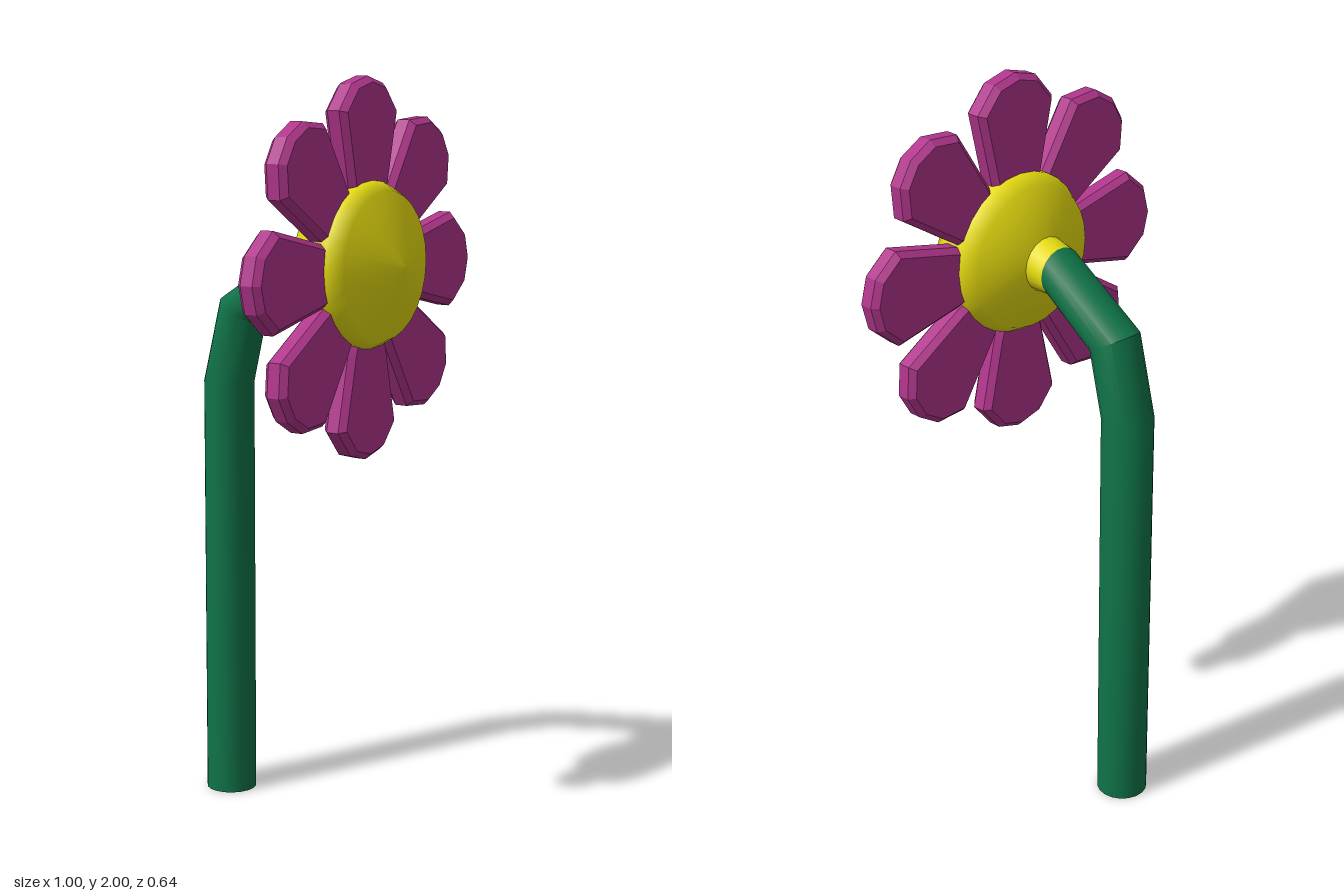
import * as THREE from 'three';
import { toCreasedNormals } from 'three/addons/utils/BufferGeometryUtils.js';

const paint = (name, color) => {
  const m = new THREE.MeshStandardMaterial({ color });
  m.name = name;
  return m;
};

// Tube through tilted rings; each ring is [centreY, centreZ, radiusX, vY, vZ],
// where v is the ring's second axis in the side plane.
function ringTube(rings, sides, capStart) {
  const pos = [], idx = [];
  for (const [y, z, r, vy, vz] of rings) {
    for (let i = 0; i < sides; i++) {
      const a = (i / sides) * Math.PI * 2;
      pos.push(Math.cos(a) * r, y + Math.sin(a) * vy, z + Math.sin(a) * vz);
    }
  }
  for (let k = 0; k < rings.length - 1; k++) {
    for (let i = 0; i < sides; i++) {
      const j = (i + 1) % sides;
      const a = k * sides + i, b = k * sides + j;
      idx.push(a, b, b + sides, a, b + sides, a + sides);
    }
  }
  if (capStart) {
    const c = pos.length / 3;
    pos.push(0, rings[0][0], rings[0][1]);
    for (let i = 0; i < sides; i++) idx.push(c, (i + 1) % sides, i);
  }
  const g = new THREE.BufferGeometry();
  g.setAttribute('position', new THREE.Float32BufferAttribute(pos, 3));
  g.setIndex(idx);
  return toCreasedNormals(g, 0.5);
}

export function createModel() {
  const green = paint('stem green', 0x0f7348);
  const yellow = paint('centre yellow', 0xe6dc10);
  const magenta = paint('petal magenta', 0xb0368c);
  const model = new THREE.Group();
  model.name = 'flower';
  const add = (name, geometry, material, parent = model) => {
    const mesh = new THREE.Mesh(geometry, material);
    mesh.name = name;
    parent.add(mesh);
    return mesh;
  };

  // Upright stem bending forward to the bloom
  add('stem', ringTube([
    [0, -0.25, 0.07, 0, -0.07],
    [1.17, -0.25, 0.07, 0, -0.07],
    [1.372, -0.2, 0.07, 0.033, -0.06],
    [1.505, 0, 0.07, 0.065, 0],
  ], 18, true), green);

  // Short collar joining stem and bloom
  add('neck', ringTube([
    [1.505, 0, 0.07, 0.065, 0],
    [1.512, 0.06, 0.075, 0.075, 0],
  ], 18, false), yellow);

  // Domed centre, turned about the z axis
  const profile = [[0, 0.05], [0.075, 0.053], [0.195, 0.105], [0.22, 0.15],
    [0.22, 0.22], [0.195, 0.265], [0, 0.322]].map(([r, z]) => new THREE.Vector2(r, z));
  const disc = new THREE.LatheGeometry(profile, 28);
  disc.rotateX(Math.PI / 2);
  add('centre', disc, yellow).position.y = 1.515;

  // Ring of eight bevelled petals
  const half = [[0.05, 0.1], [0.085, 0.215], [0.13, 0.415], [0.072, 0.483]];
  const outline = [...half, [0, 0.502], ...half.map(([x, y]) => [-x, y]).reverse()];
  const petal = new THREE.ExtrudeGeometry(
    new THREE.Shape(outline.map(([x, y]) => new THREE.Vector2(x, y))),
    { depth: 0.036, bevelThickness: 0.017, bevelSize: 0.015, bevelOffset: -0.015, bevelSegments: 1 });
  petal.translate(0, 0, 0.167);
  const petals = new THREE.Group();
  petals.name = 'petals';
  petals.position.y = 1.5;
  model.add(petals);
  for (let i = 0; i < 8; i++) {
    add('petal', petal, magenta, petals).rotation.z = (i * Math.PI) / 4;
  }
  return model;
}
